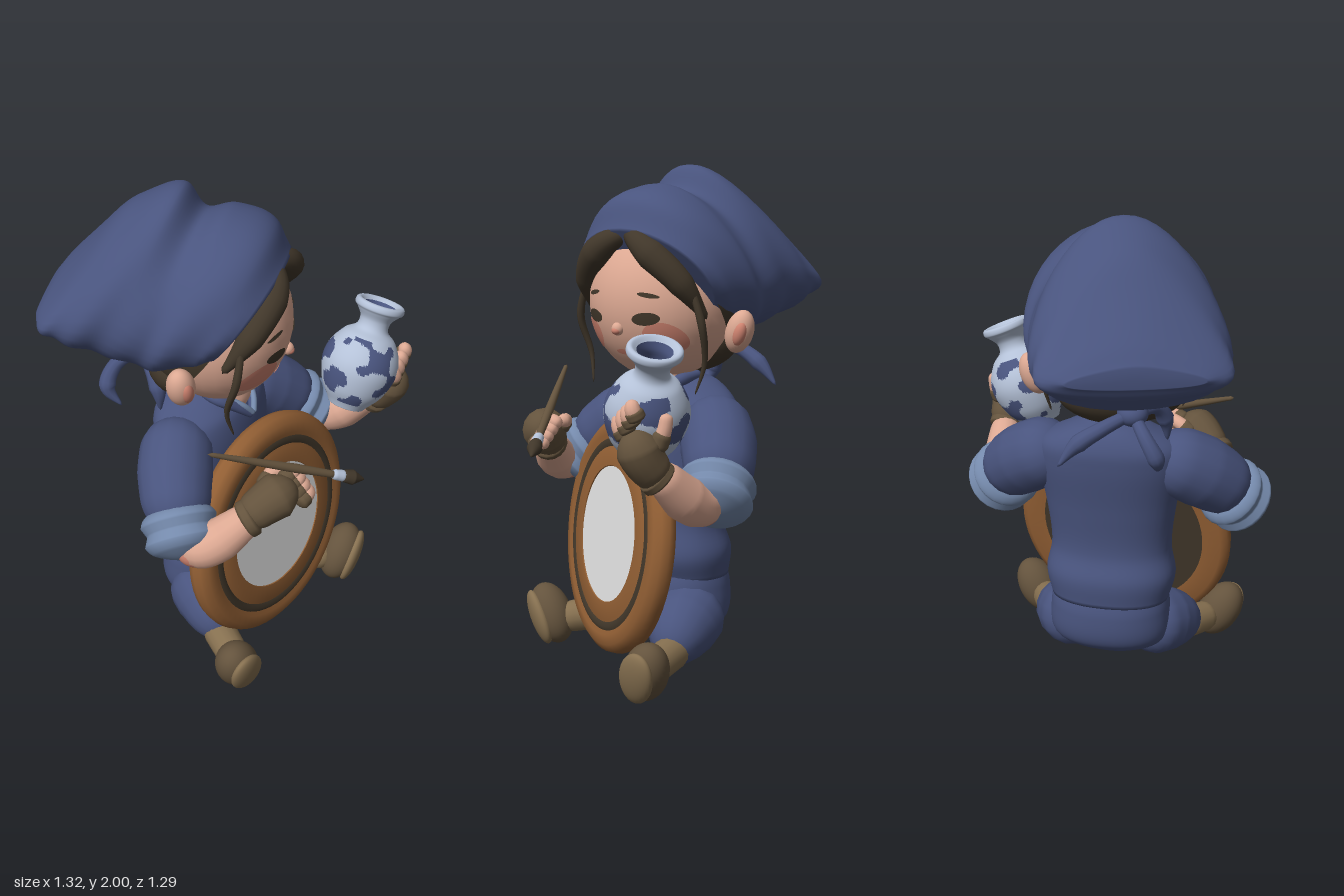
import * as THREE from 'three';
import { mergeVertices, toCreasedNormals } from 'three/addons/utils/BufferGeometryUtils.js';
import { ParametricGeometry } from 'three/addons/geometries/ParametricGeometry.js';

const V = (x, y, z) => new THREE.Vector3(x, y, z);
const mat = (name, color) => new THREE.MeshStandardMaterial({ name, color, side: THREE.DoubleSide });

const cloth = mat('blue cloth', 0x49547e);
const cuffBlue = mat('light blue cuff', 0x758aac);
const skin = mat('skin', 0xdda993);
const blush = mat('blush', 0xd08471);
const dark = mat('dark brown hair', 0x41372a);
const wood = mat('wood', 0x925f34);
const leather = mat('leather', 0x64533d);
const tan = mat('tan', 0x867050);
const white = mat('white', 0xe2e2e2);
const porcelain = mat('porcelain', 0xb4c1d7);

function add(parent, name, geo, material) {
  const m = new THREE.Mesh(geo, material);
  m.name = name;
  parent.add(m);
  return m;
}

// Weld seams, make faces point outward, smooth the normals
function clean(geo) {
  geo.deleteAttribute('uv');
  geo.deleteAttribute('normal');
  const g = mergeVertices(geo, 1e-5), p = g.attributes.position, idx = g.index.array;
  const a = V(), b = V(), c = V();
  let vol = 0;
  for (let i = 0; i < idx.length; i += 3) {
    a.fromBufferAttribute(p, idx[i]); b.fromBufferAttribute(p, idx[i + 1]); c.fromBufferAttribute(p, idx[i + 2]);
    vol += a.dot(b.cross(c));
  }
  if (vol < 0) for (let i = 0; i < idx.length; i += 3) [idx[i], idx[i + 1]] = [idx[i + 1], idx[i]];
  g.computeVertexNormals();
  return g;
}

// Round-ended tube through points with a radius that varies along it
function limb(pts, radii, rings = 30, sides = 16) {
  const curve = new THREE.CatmullRomCurve3(pts.map(p => V(...p)));
  const geo = new THREE.TubeGeometry(curve, rings, 1, sides), p = geo.attributes.position;
  const len = curve.getLength(), v = V();
  for (let i = 0; i <= rings; i++) {
    const t = i / rings, f = t * (radii.length - 1), k = Math.min(radii.length - 2, Math.floor(f));
    let r = THREE.MathUtils.lerp(radii[k], radii[k + 1], f - k);
    const d = Math.min(1, Math.min(t, 1 - t) * len / Math.min(r, len / 3));
    r *= Math.sqrt(Math.max(0, 1 - (1 - d) ** 2));
    const c = curve.getPointAt(t);
    for (let j = 0; j <= sides; j++) {
      const n = i * (sides + 1) + j;
      v.fromBufferAttribute(p, n).sub(c).multiplyScalar(r).add(c);
      p.setXYZ(n, v.x, v.y, v.z);
    }
  }
  return clean(geo);
}

// Closed skin over oval sections, each spanning front [x, y, halfWidth] to back [x, y]
function loft(front, back, { box = 1, flare = 0, fold = 0, rows = 48 } = {}) {
  const F = new THREE.CatmullRomCurve3(front.map(p => V(...p)));
  const B = new THREE.CatmullRomCurve3(back.map(p => V(p[0], p[1], 0)));
  const sp = x => Math.sign(x) * Math.abs(x) ** box;
  return clean(new ParametricGeometry((u, v, out) => {
    const t = Math.min(1, Math.max(0, (u * (rows + 2) - 1) / rows));
    const f = F.getPoint(t), b = B.getPoint(t), a = v * Math.PI * 2;
    let s = u < 0.5 / rows || u > 1 - 0.5 / rows ? 0 : 1;
    s *= 1 + fold * Math.sin(t * 34 + 3 * Math.cos(a));
    const c = sp(Math.cos(a)) * s, w = sp(Math.sin(a)) * s;
    out.set((f.x + b.x) / 2 + (f.x - b.x) / 2 * c, (f.y + b.y) / 2 + (f.y - b.y) / 2 * c,
      f.z * w * (1 - flare * (0.35 + t) * c));
  }, rows + 2, 40));
}

function ball(parent, name, material, pos, scale) {
  const m = add(parent, name, new THREE.SphereGeometry(1, 32, 24), material);
  m.position.set(...pos);
  m.scale.set(...scale);
  return m;
}

// Finger with a glove sleeve up to the knuckle and a bare tip
function finger(parent, base, knuckle, tip) {
  add(parent, 'gloveFinger', limb([base, knuckle], [0.035, 0.034], 16, 12), leather);
  add(parent, 'fingerTip', limb([base, knuckle, tip], [0.028, 0.028, 0.025], 16, 12), skin);
}

// Oval painted on the face ellipsoid
const HEAD = { c: [0.02, 1.47, 0], r: [0.275, 0.31, 0.305] };
function facePatch(parent, name, material, y, z, ry, rz, tilt = 0, lift = 0.004) {
  add(parent, name, new ParametricGeometry((u, v, out) => {
    const a = v * Math.PI * 2, p = u * ry * Math.sin(a), q = u * rz * Math.cos(a);
    const yy = y + p * Math.cos(tilt) + q * Math.sin(tilt), zz = z + q * Math.cos(tilt) - p * Math.sin(tilt);
    const k = 1 - ((yy - HEAD.c[1]) / HEAD.r[1]) ** 2 - (zz / HEAD.r[2]) ** 2;
    out.set(HEAD.c[0] + HEAD.r[0] * Math.sqrt(Math.max(0, k)) + lift, yy, zz);
  }, 8, 28), material);
}

function makeHead() {
  const head = new THREE.Group();
  head.name = 'head';
  ball(head, 'face', skin, HEAD.c, HEAD.r);
  ball(head, 'nose', skin, [0.282, 1.378, 0], [0.024, 0.026, 0.025]);
  ball(head, 'noseTip', blush, [0.288, 1.372, 0], [0.021, 0.017, 0.021]);
  facePatch(head, 'mouth', blush, 1.285, 0, 0.011, 0.042);
  // Hair shell with an opening for the face
  add(head, 'hair', clean(new ParametricGeometry((u, v, out) => {
    const t = v * Math.PI * 2, a0 = 0.88 + 1.37 * ((1 - Math.cos(t)) / 2) ** 1.5;
    const a = a0 + (Math.PI - a0) * u;
    out.set(0.29 * Math.cos(a), 1.48 + 0.32 * Math.sin(a) * Math.cos(t), 0.318 * Math.sin(a) * Math.sin(t));
  }, 24, 56)), dark);
  ball(head, 'napeHair', dark, [-0.1, 1.32, 0], [0.165, 0.145, 0.265]);
  for (const s of [1, -1]) {
    facePatch(head, 'cheek', blush, 1.348, s * 0.175, 0.062, 0.07);
    facePatch(head, 'eye', dark, 1.422, s * 0.13, 0.025, 0.053, s * 0.1, 0.006);
    facePatch(head, 'eyebrow', dark, 1.512, s * 0.14, 0.009, 0.042, s * -0.15);
    const ear = ball(head, 'ear', skin, [-0.045, 1.365, s * 0.34], [0.055, 0.088, 0.055]);
    ear.rotation.set(s * 0.35, s * 0.3, 0);
    ball(head, 'innerEar', blush, [-0.015, 1.36, s * 0.362], [0.026, 0.05, 0.028]).rotation.x = s * 0.35;
    add(head, 'fringe', limb([[0.22, 1.75, 0], [0.25, 1.69, s * 0.11], [0.2, 1.57, s * 0.235],
      [0.1, 1.42, s * 0.295]], [0.03, 0.06, 0.05, 0.012]), dark);
    add(head, 'looseStrand', limb([[0.17, 1.56, s * 0.27], [0.16, 1.4, s * 0.32], [0.12, 1.25, s * 0.3],
      [0.14, 1.13, s * 0.27]], [0.012, 0.016, 0.012, 0.003], 30, 8), dark);
  }
  // Headscarf: band at the front, full bag at the back
  const top = [[0.27, 1.75, 0.325], [0.21, 1.87, 0.355], [0.06, 1.935, 0.365], [-0.05, 1.905, 0.35], [-0.13, 2.0, 0.345],
    [-0.3, 1.94, 0.345], [-0.45, 1.8, 0.335], [-0.58, 1.66, 0.3], [-0.635, 1.59, 0.22]];
  const bottom = [[0, 1.38], [-0.06, 1.35], [-0.17, 1.31], [-0.26, 1.32], [-0.38, 1.34],
    [-0.48, 1.37], [-0.56, 1.42], [-0.61, 1.47], [-0.635, 1.51]];
  add(head, 'headscarf', loft(top, bottom, { box: 0.95, flare: 0.36, fold: 0.014, rows: 72 }), cloth);
  ball(head, 'scarfKnot', cloth, [-0.31, 1.29, 0.02], [0.06, 0.05, 0.06]);
  const tails = [[[-0.31, 1.29, 0.02], [-0.4, 1.22, 0.06], [-0.42, 1.14, 0.1], [-0.36, 1.07, 0.11]],
    [[-0.31, 1.29, 0.02], [-0.36, 1.25, -0.1], [-0.37, 1.19, -0.2], [-0.38, 1.11, -0.27]],
    [[-0.3, 1.29, 0.04], [-0.23, 1.28, 0.12], [-0.19, 1.21, 0.16], [-0.18, 1.12, 0.17]]];
  for (const t of tails) add(head, 'scarfTail', limb(t, [0.022, 0.028, 0.035, 0.004], 24, 10), cloth);
  head.position.set(0.01, 0, 0.03);
  head.rotation.y = 0.28;
  return head;
}

function makeBoard() {
  const board = new THREE.Group();
  board.name = 'roundPanel';
  const lathe = pts => new THREE.LatheGeometry(pts.map(p => new THREE.Vector2(...p)), 64);
  add(board, 'woodFrame', toCreasedNormals(lathe([[0.36, -0.09], [0.44, -0.095], [0.467, -0.08], [0.474, -0.055],
    [0.467, -0.025], [0.44, -0.003], [0.4, 0.002], [0.38, -0.006], [0.35, -0.006], [0.34, 0], [0.272, 0], [0.268, -0.01]]), 0.9), wood);
  const disc = (name, r, y, m, dir) => {
    const d = add(board, name, new THREE.CircleGeometry(r, 64), m);
    d.rotation.x = -dir * Math.PI / 2;
    d.position.y = y;
  };
  disc('whiteSurface', 0.27, -0.004, white, 1);
  disc('panelBack', 0.37, -0.085, dark, -1);
  add(board, 'groove', lathe([[0.383, -0.005], [0.367, 0.002], [0.35, -0.005]]), dark);
  board.quaternion.setFromUnitVectors(V(0, 1, 0), V(0.97, 0.13, 0.15).normalize());
  board.position.set(0.3, 0.555, 0.015);
  return board;
}

function makeVase() {
  const vase = new THREE.Group();
  vase.name = 'vase';
  const spline = pts => new THREE.SplineCurve(pts.map(p => new THREE.Vector2(...p)));
  const outer = spline([[0.075, 0], [0.088, 0.02], [0.13, 0.08], [0.157, 0.17], [0.148, 0.24], [0.11, 0.305],
    [0.068, 0.34], [0.064, 0.38], [0.088, 0.415], [0.102, 0.43], [0.1, 0.45], [0.085, 0.455], [0.066, 0.44]]).getPoints(90);
  const geo = new THREE.LatheGeometry([new THREE.Vector2(0, 0), ...outer], 120);
  // Painted blotches: sort the faces into two colour groups
  const p = geo.attributes.position, idx = geo.index.array, lists = [[], []], q = V(), w = V();
  for (let i = 0; i < idx.length; i += 3) {
    q.set(0, 0, 0);
    for (let k = 0; k < 3; k++) q.add(w.fromBufferAttribute(p, idx[i + k]));
    const y = q.y / 3, a = Math.atan2(q.x, q.z);
    const n = Math.sin(3 * a + 22 * y) + Math.sin(4 * a - 38 * y + 1) + 0.5 * Math.sin(7 * a + 60 * y);
    lists[n > 0.35 && y > 0.03 && y < 0.31 ? 1 : 0].push(idx[i], idx[i + 1], idx[i + 2]);
  }
  geo.setIndex([...lists[0], ...lists[1]]);
  geo.addGroup(0, lists[0].length, 0);
  geo.addGroup(lists[0].length, lists[1].length, 1);
  add(vase, 'vaseBody', geo, [porcelain, cloth]);
  add(vase, 'vaseInside', new THREE.LatheGeometry(
    spline([[0.066, 0.44], [0.054, 0.41], [0.05, 0.36], [0, 0.34]]).getPoints(16), 48), cloth);
  vase.quaternion.setFromUnitVectors(V(0, 1, 0), V(0.05, 0.43, -0.18).normalize());
  vase.position.set(0.385, 0.95, -0.385);
  return vase;
}

export function createModel() {
  const model = new THREE.Group();
  model.name = 'paintingFigure';
  model.add(makeHead(), makeBoard(), makeVase());

  // Body
  add(model, 'neck', limb([[0, 1.28, 0], [0.03, 1.17, 0], [0.06, 1.04, 0]], [0.1, 0.1, 0.09]), skin);
  add(model, 'shirt', loft(
    [[0.13, 0.37, 0.245], [0.165, 0.46, 0.27], [0.15, 0.6, 0.25], [0.15, 0.8, 0.27], [0.15, 0.97, 0.3], [0.13, 1.07, 0.28], [0.1, 1.12, 0.18], [0.08, 1.15, 0.11]],
    [[-0.2, 0.38], [-0.205, 0.49], [-0.17, 0.6], [-0.185, 0.8], [-0.215, 1.0], [-0.215, 1.08], [-0.18, 1.15], [-0.12, 1.18]], { box: 0.9 }), cloth);
  add(model, 'trouserSeat', loft([[0.1, 0.08, 0.12], [0.15, 0.18, 0.24], [0.15, 0.34, 0.25], [0.12, 0.44, 0.23]],
    [[-0.08, 0.11], [-0.195, 0.2], [-0.21, 0.33], [-0.18, 0.44]], { box: 0.9 }), cloth);

  for (const s of [1, -1]) {
    add(model, 'collar', limb([[-0.08, 1.18, s * 0.08], [0.06, 1.16, s * 0.115], [0.12, 1.11, s * 0.06], [0.16, 1.05, 0]],
      [0.02, 0.025, 0.022, 0.015]), cloth);
    add(model, 'collarTrim', limb([[0.09, 1.15, s * 0.08], [0.14, 1.11, s * 0.04], [0.165, 1.06, 0]], [0.012, 0.012]), cuffBlue);
    // Legs and shoes
    const dx = s < 0 ? 0.05 : 0;
    add(model, 'trouserLeg', limb([[-0.06, 0.24, s * 0.12], [0.08, 0.2, s * 0.21], [0.22, 0.13, s * 0.32]], [0.15, 0.14, 0.09]), cloth);
    add(model, 'ankle', limb([[0.14, 0.14, s * 0.27], [0.32 + dx, 0.11, s * 0.39]], [0.07, 0.065]), tan);
    const shoe = new THREE.Group();
    shoe.name = 'shoe';
    ball(shoe, 'shoeUpper', leather, [0, 0, 0], [0.085, 0.133, 0.09]);
    ball(shoe, 'shoeSole', tan, [0.055, 0, 0], [0.035, 0.12, 0.079]);
    shoe.position.set(0.34 + dx, 0.128, s * 0.42);
    shoe.rotation.set(s * 0.5, -s * 0.3, -0.12);
    model.add(shoe);
    // Sleeves with rolled cuffs
    add(model, 'sleeve', limb([[-0.07, 1.04, s * 0.17], [0.01, 0.95, s * 0.34], [0.13, 0.8, s * 0.52]], [0.14, 0.148, 0.125]), cloth);
    add(model, 'rolledCuff', limb([[0.065, 0.865, s * 0.435], [0.19, 0.72, s * 0.55]],
      [0.12, 0.145, 0.15, 0.132, 0.148, 0.138, 0.1], 48, 24), cuffBlue);
    ball(model, 'elbow', blush, [0.205, 0.752, s * 0.512], [0.078, 0.07, 0.075]);
  }

  // Brush arm
  add(model, 'forearm', limb([[0.15, 0.775, 0.5], [0.23, 0.765, 0.505], [0.38, 0.89, 0.35]], [0.08, 0.085, 0.058]), skin);
  add(model, 'glove', limb([[0.34, 0.86, 0.39], [0.42, 0.94, 0.3], [0.47, 0.965, 0.21]], [0.07, 0.078, 0.09, 0.06]), leather);
  add(model, 'gloveRim', limb([[0.34, 0.86, 0.4], [0.38, 0.89, 0.36]], [0.075, 0.075]), leather);
  for (let i = 0; i < 4; i++)
    finger(model, [0.42 + i * 0.026, 0.98 - i * 0.026, 0.24], [0.445 + i * 0.022, 1.0 - i * 0.026, 0.185],
      [0.43 + i * 0.018, 0.985 - i * 0.024, 0.145]);
  finger(model, [0.36, 0.95, 0.28], [0.37, 0.99, 0.22], [0.41, 1.0, 0.17]);
  const tail = V(0.23, 1.18, 0.46), tip = V(0.65, 0.91, -0.02);
  const at = t => tail.clone().lerp(tip, t).toArray();
  add(model, 'brushHandle', limb([at(0), at(0.82)], [0.008, 0.014, 0.018, 0.014]), leather);
  add(model, 'brushFerrule', limb([at(0.78), at(0.88)], [0.02, 0.024]), porcelain);
  add(model, 'brushBristles', limb([at(0.84), at(0.92), at(1)], [0.022, 0.03, 0.003]), dark);

  // Vase arm
  add(model, 'forearm', limb([[0.14, 0.775, -0.5], [0.25, 0.775, -0.535], [0.44, 0.93, -0.565]], [0.08, 0.085, 0.058]), skin);
  add(model, 'glove', limb([[0.41, 0.88, -0.565], [0.49, 0.98, -0.56], [0.525, 1.08, -0.545]], [0.068, 0.076, 0.082, 0.06]), leather);
  add(model, 'gloveRim', limb([[0.41, 0.88, -0.57], [0.45, 0.92, -0.56]], [0.072, 0.072]), leather);
  for (let i = 0; i < 4; i++)
    finger(model, [0.525, 1.04 + i * 0.025, -0.515 - i * 0.025], [0.545, 1.085 + i * 0.025, -0.495 - i * 0.03],
      [0.53, 1.13 + i * 0.018, -0.475 - i * 0.03]);
  finger(model, [0.45, 1.0, -0.59], [0.43, 1.08, -0.61], [0.42, 1.14, -0.61]);
  return model;
}
